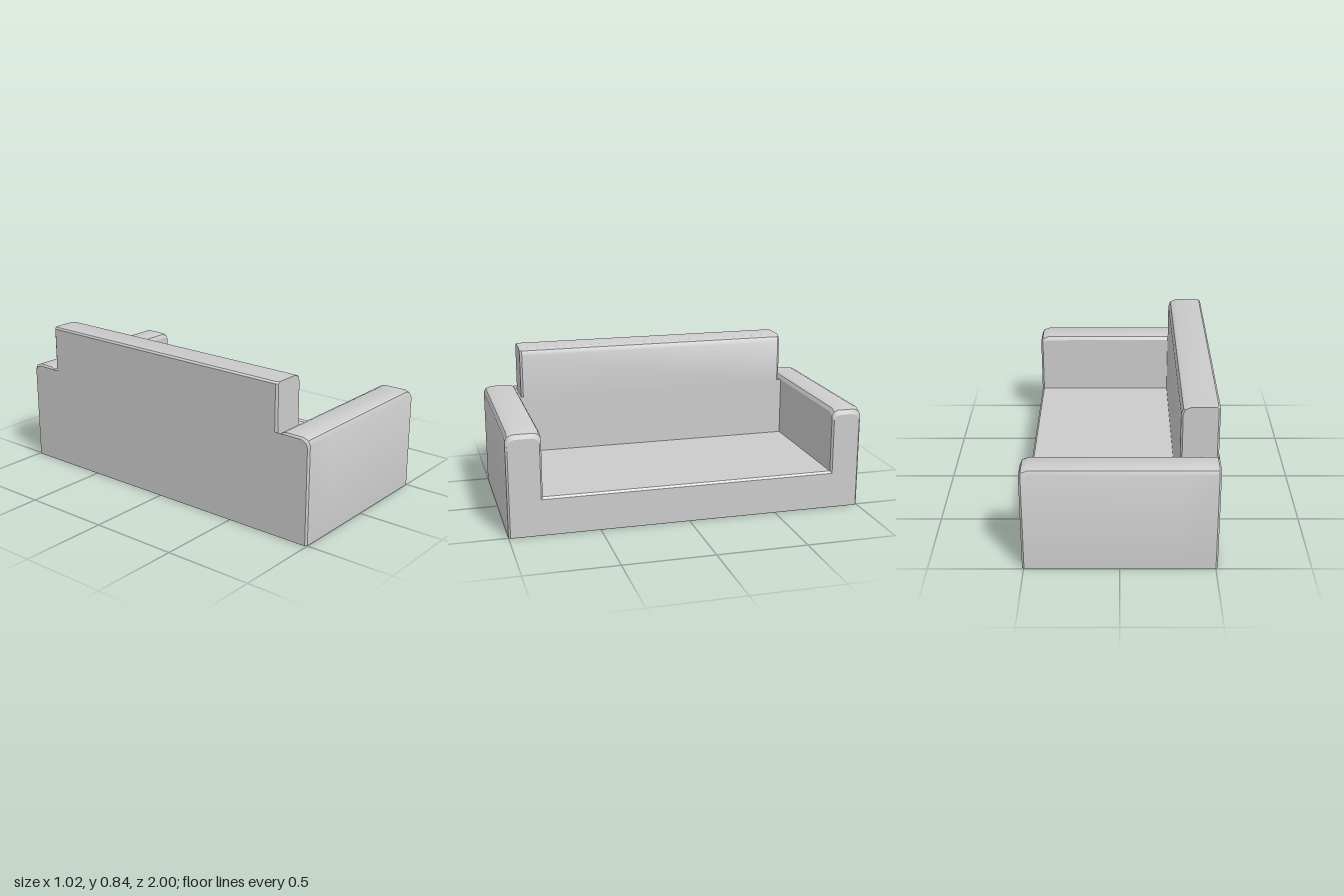
import * as THREE from 'three';
import { toCreasedNormals } from 'three/addons/utils/BufferGeometryUtils.js';

const material = new THREE.MeshStandardMaterial({ color: 0xcccccc, side: THREE.DoubleSide });
const BACK_X = -0.51, REST_X = -0.31, SEAT_Y = 0.215, LEDGE_Y = 0.555;

// Skin a list of equal-length rows of [x, y, z] points
function loft(rows, flip = false) {
  const n = rows[0].length, index = [];
  for (let r = 0; r < rows.length - 1; r++) {
    for (let i = 0; i < n - 1; i++) {
      const a = r * n + i, b = a + 1, c = a + n, d = c + 1;
      if (flip) index.push(a, c, b, b, c, d);
      else index.push(a, b, c, b, d, c);
    }
  }
  const g = new THREE.BufferGeometry();
  g.setAttribute('position', new THREE.Float32BufferAttribute(rows.flat(2), 3));
  g.setIndex(index);
  return toCreasedNormals(g, 0.6);
}

// Flat outline, mapped into space by place(u, v)
function plate(points, place) {
  const g = new THREE.ShapeGeometry(new THREE.Shape(points.map(([u, v]) => new THREE.Vector2(u, v))));
  const p = g.attributes.position;
  for (let i = 0; i < p.count; i++) p.setXYZ(i, ...place(p.getX(i), p.getY(i)));
  g.computeVertexNormals();
  return g;
}

// Rounded arm section as [z, y], from outer foot over the top to the inner edge
function armSection(side, inset, top) {
  const o = 1 - inset, i = (side > 0 ? 0.81 : 0.83) + inset;
  return [
    [o, 0], [o, top - 0.035], [o - 0.012, top - 0.012], [o - 0.04, top],
    [i + 0.035, top], [i + 0.012, top - 0.01], [i, top - 0.03],
  ].map(([z, y]) => [z * side, y]);
}

export function createModel() {
  const sofa = new THREE.Group();
  sofa.name = 'sofa';
  const add = (name, geometry) => {
    const m = new THREE.Mesh(geometry, material);
    m.name = name;
    sofa.add(m);
  };

  // Stations along the depth: [x, inset, arm top, seat height]
  const stations = [
    [BACK_X, 0.01, 0.575, SEAT_Y], [-0.5, 0, 0.585, SEAT_Y], [REST_X, 0, 0.585, SEAT_Y],
    [0.46, 0, 0.585, SEAT_Y], [0.497, 0, 0.57, SEAT_Y], [0.508, 0.01, 0.545, 0.203],
  ];

  // Hollow arms
  for (const side of [1, -1]) {
    const rows = stations.map(([x, inset, top]) =>
      armSection(side, inset, top).map(([z, y]) => [x, y, z]));
    add(side > 0 ? 'leftArm' : 'rightArm', loft(rows, side > 0));
  }

  // Seat with the inner walls of the arms
  const channel = stations.slice(2).map(([x, inset, top, seat]) => {
    const l = 0.81 + inset, r = -0.83 - inset;
    return [[x, top - 0.03, l], [x, seat, l], [x, seat, r], [x, top - 0.03, r]];
  });
  add('seat', loft(channel, true));

  // Front panel with its notch for the seat
  const [fx, fi, ft, fs] = stations[5];
  const left = armSection(1, fi, ft), right = armSection(-1, fi, ft);
  const frontOutline = [
    ...left, [0.81 + fi, fs], [-0.83 - fi, fs], ...right.reverse(),
  ].reverse();
  // Negated z as the horizontal axis keeps the panel facing outwards
  add('frontPanel', plate(frontOutline.map(([z, y]) => [-z, y]), (u, v) => [fx, v, -u]));

  // Rear panel
  const rearLeft = armSection(1, 0.01, 0.575).slice(0, 4);
  const rearRight = armSection(-1, 0.01, 0.575).slice(0, 4).reverse();
  add('rearPanel', plate([...rearLeft, ...rearRight], (u, v) => [BACK_X, v, u]));

  // Backrest section as [x, y], from rear to front over the top
  const restSection = (inset, low) => [
    [BACK_X + inset, low], [BACK_X + inset, 0.83], [-0.5 + inset, 0.84],
    [-0.35 - inset, 0.84], [-0.322 - inset, 0.828], [REST_X - inset, 0.8], [REST_X - inset, low],
  ];
  const restRows = [[-0.815, 0.01], [-0.803, 0], [0.788, 0], [0.8, 0.01]].map(([z, inset]) =>
    restSection(inset, 0.54).map(([x, y]) => [x, y, z]));
  add('backrest', loft(restRows, true));
  for (const z of [0.8, -0.815]) {
    const s = Math.sign(z);
    add('backrestEnd', plate(restSection(0.01, 0.54).map(([x, y]) => [x * s, y]), (u, v) => [u * s, v, z]));
  }

  // Lower front of the backrest and the narrow ledges beside it
  add('backrestLowerFront', plate(
    [[-0.81, SEAT_Y], [0.83, SEAT_Y], [0.83, LEDGE_Y], [-0.81, LEDGE_Y]],
    (u, v) => [REST_X, v, -u]));
  for (const [a, b] of [[0.785, 0.81], [-0.83, -0.8]]) {
    const ledge = new THREE.PlaneGeometry(REST_X - BACK_X, b - a).rotateX(-Math.PI / 2);
    add('backrestLedge', ledge.translate((REST_X + BACK_X) / 2, LEDGE_Y, (a + b) / 2));
  }
  return sofa;
}
